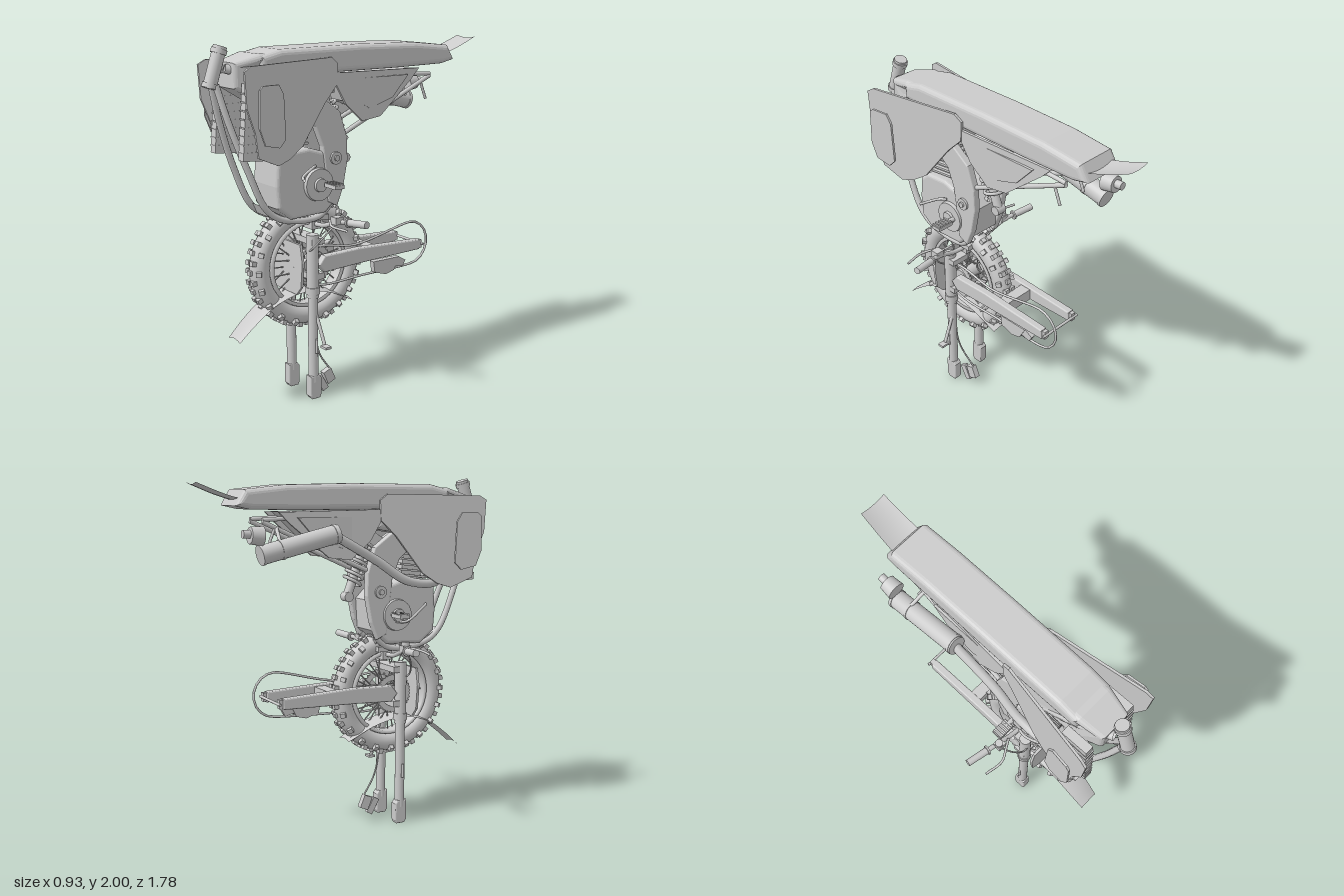
import * as THREE from 'three';
import { mergeGeometries } from 'three/addons/utils/BufferGeometryUtils.js';

const mat = new THREE.MeshStandardMaterial({ color: 0xcccccc, side: THREE.DoubleSide });
const V = (p) => new THREE.Vector3(...p);

export function createModel() {
  const root = new THREE.Group();
  const add = (name, geo, x = 0, y = 0, z = 0) => {
    const m = new THREE.Mesh(geo, mat);
    m.name = name;
    m.position.set(x, y, z);
    root.add(m);
    return m;
  };
  const box = (name, w, h, d, x, y, z, rx = 0) => {
    const m = add(name, new THREE.BoxGeometry(w, h, d), x, y, z);
    m.rotation.x = rx;
    return m;
  };
  // straight round bar between two points
  const rodGeo = (a, b, r, r2 = r, n = 16) => {
    const A = V(a), B = V(b), d = B.clone().sub(A);
    const g = new THREE.CylinderGeometry(r2, r, d.length(), n);
    g.applyQuaternion(new THREE.Quaternion().setFromUnitVectors(new THREE.Vector3(0, 1, 0), d.normalize()));
    return g.translate(...A.add(B).multiplyScalar(0.5).toArray());
  };
  const rod = (name, a, b, r, r2, n) => add(name, rodGeo(a, b, r, r2, n));
  const tube = (name, pts, r, closed = false) =>
    add(name, new THREE.TubeGeometry(new THREE.CatmullRomCurve3(pts.map(V), closed), 48, r, 10, closed));
  // side outline in [z, y], given a thickness along x
  const plateGeo = (pts, w, bevel = 0, hole) => {
    const s = new THREE.Shape(pts.map((p) => new THREE.Vector2(...p)));
    if (hole) s.holes.push(new THREE.Path().absarc(...hole, 0, Math.PI * 2, true));
    const g = new THREE.ExtrudeGeometry(s, {
      depth: w - 2 * bevel, bevelEnabled: bevel > 0, bevelSize: bevel,
      bevelThickness: bevel, bevelOffset: -bevel, bevelSegments: 4, curveSegments: 24,
    });
    return g.translate(0, 0, bevel - w / 2).rotateY(-Math.PI / 2).translate(w / 2 - w / 2, 0, 0);
  };
  const plate = (name, pts, w, x = 0, bevel = 0) => add(name, plateGeo(pts, w, bevel), x);
  // shifts x by a rule of position
  const bend = (g, f) => {
    const p = g.attributes.position;
    for (let i = 0; i < p.count; i++) p.setX(i, f(p.getX(i), p.getY(i), p.getZ(i)));
    g.computeVertexNormals();
    return g;
  };
  const sides = [-1, 1];

  // Wheel: tyre, tread, rim, spokes and hub
  const WY = 0.77, WZ = 0.285;
  add('tyre', new THREE.TorusGeometry(0.298, 0.056, 20, 72).rotateY(Math.PI / 2), 0, WY, WZ);
  const knobs = [], spokes = [];
  for (let i = 0; i < 40; i++) {
    const a = (i / 40) * Math.PI * 2;
    const offs = i % 2 ? [-0.021, 0.021] : [-0.052, 0, 0.052];
    for (const o of offs) {
      const side = Math.abs(o) > 0.04;
      const g = new THREE.BoxGeometry(0.03, 0.03, 0.026);
      if (side) g.rotateZ(-Math.sign(o) * 0.9);
      knobs.push(g.translate(o, side ? 0.332 : 0.352, 0).rotateX(a));
    }
  }
  add('tyreKnobs', mergeGeometries(knobs), 0, WY, WZ);
  const rim = [[0.228, -0.04], [0.246, -0.045], [0.25, -0.03], [0.236, 0], [0.25, 0.03], [0.246, 0.045], [0.228, 0.04], [0.222, 0], [0.228, -0.04]];
  add('rim', new THREE.LatheGeometry(rim.map((p) => new THREE.Vector2(...p)), 64).rotateZ(Math.PI / 2), 0, WY, WZ);
  for (let i = 0; i < 32; i++) {
    const a = (i / 32) * Math.PI * 2, b = a + (i % 4 < 2 ? 0.5 : -0.5), s = i % 2 ? 1 : -1;
    spokes.push(rodGeo([s * 0.045, Math.cos(b) * 0.05, Math.sin(b) * 0.05], [s * 0.01, Math.cos(a) * 0.23, Math.sin(a) * 0.23], 0.004, 0.004, 6));
  }
  add('spokes', mergeGeometries(spokes), 0, WY, WZ);
  rod('hub', [-0.06, WY, WZ], [0.06, WY, WZ], 0.045, 0.045, 24);
  const ring = (n, x, r, hole) => {
    const pts = [];
    for (let i = 0; i < 72; i++) {
      const a = (i / 72) * Math.PI * 2, q = r + (i % 2 ? 0.006 : -0.004);
      pts.push([WZ + Math.cos(a) * q, WY + Math.sin(a) * q]);
    }
    add(n, plateGeo(pts, 0.008, 0, [WZ, WY, hole]), x);
  };
  ring('sprocket', 0.075, 0.12, 0.085);
  ring('brakeDisc', -0.07, 0.11, 0.075);

  // Fork legs, clamps and feet
  for (const s of sides) {
    const x = s * 0.112;
    rod('forkUpper', [x, 0.6, 0.31], [x, 0.96, 0.31], 0.034, 0.034, 24);
    rod('forkLower', [x, 0.1, 0.31], [x, 0.62, 0.31], 0.028, 0.028, 24);
    rod('forkCollar', [x, 0.62, 0.31], [x, 0.66, 0.31], 0.04, 0.04, 24);
    plate('forkFoot', [[0.345, 0.02], [0.33, 0], [0.28, 0], [0.27, 0.02], [0.27, 0.12], [0.285, 0.14], [0.345, 0.14]], 0.052, x, 0.008);
    rod('forkGuide', [x + s * 0.035, 0.28, 0.31], [x + s * 0.035, 0.36, 0.31], 0.008);
  }
  box('upperClamp', 0.28, 0.035, 0.08, 0, 0.92, 0.29);
  box('lowerClamp', 0.28, 0.035, 0.08, 0, 0.72, 0.29);
  tube('brakeHose', [[0.09, 0.6, 0.3], [0.1, 0.33, 0.28], [0.09, 0.24, 0.25], [0.07, 0.13, 0.17]], 0.005);
  box('caliper', 0.035, 0.08, 0.055, 0.07, 0.09, 0.18, 0.4);
  box('caliperBracket', 0.025, 0.1, 0.04, 0.075, 0.06, 0.23, 0.5);

  // Number plate inside the wheel, bowed across its width
  const np = new THREE.Shape([[-0.1, 0.63], [-0.145, 0.68], [-0.16, 0.82], [-0.14, 0.92], [0.14, 0.92], [0.16, 0.82], [0.145, 0.68], [0.1, 0.63]].map((p) => new THREE.Vector2(...p)));
  add('numberPlate', new THREE.ExtrudeGeometry(np, { depth: 0.015, bevelEnabled: false }), 0, 0, 0.395);

  // Arched strips for the fenders: path in [z, y, half width]
  const strip = (name, path, dish) => {
    const c = new THREE.CatmullRomCurve3(path.map(([z, y, w]) => new THREE.Vector3(w, y, z)));
    const g = new THREE.PlaneGeometry(1, 1, 8, 24), p = g.attributes.position;
    for (let i = 0; i < p.count; i++) {
      const q = c.getPoint(p.getY(i) + 0.5), u = p.getX(i) * 2;
      p.setXYZ(i, u * q.x, q.y - dish * u * u, q.z);
    }
    g.computeVertexNormals();
    return add(name, g);
  };
  strip('frontFender', [[0.75, 0.42, 0.06], [0.66, 0.5, 0.068], [0.53, 0.59, 0.075], [0.36, 0.635, 0.08], [0.18, 0.605, 0.075], [0, 0.52, 0.06]], 0.012);
  strip('rearFender', [[-0.62, 1.87, 0.092], [-0.75, 1.91, 0.086], [-0.89, 1.965, 0.078]], -0.012);

  // Swingarm, chain, guide and stand
  for (const s of sides) {
    plate('swingarm', [[0.28, 0.78], [0.24, 0.83], [0, 0.835], [-0.44, 0.815], [-0.44, 0.755], [0, 0.745], [0.24, 0.735]], 0.045, s * 0.112, 0.008);
    box('axleBlock', 0.03, 0.05, 0.04, s * 0.112, 0.785, -0.44);
  }
  box('swingarmBridge', 0.2, 0.07, 0.07, 0, 0.785, -0.11);
  rod('rearAxle', [-0.14, 0.785, -0.46], [0.14, 0.785, -0.46], 0.008);
  const loop = [];
  for (let i = 0; i <= 8; i++) {
    const a = Math.PI / 2 + (i / 8) * Math.PI;
    loop.push([0.1, 0.795 + 0.128 * Math.sin(a), -0.39 + 0.128 * Math.cos(a)]);
  }
  loop.push([0.085, 0.655, -0.05], [0.08, 0.65, 0.24], [0.08, 0.71, 0.38], [0.08, 0.85, 0.37], [0.08, 0.875, 0.24], [0.085, 0.845, 0]);
  tube('chain', loop, 0.007, true);
  plate('chainGuide', [[-0.11, 0.73], [-0.3, 0.73], [-0.26, 0.655], [-0.2, 0.64], [-0.12, 0.665]], 0.035, 0.1);
  plate('guideTab', [[-0.26, 0.68], [-0.3, 0.73], [-0.35, 0.7], [-0.33, 0.665]], 0.025, 0.1);
  rod('standLeg', [0.09, 0.58, 0.3], [0.195, 0.34, 0.29], 0.01);
  box('standFoot', 0.05, 0.014, 0.04, 0.21, 0.33, 0.29);

  // Handlebar, grips, levers and cables
  tube('handlebar', [[-0.45, 1.065, 0.2], [-0.27, 1.05, 0.235], [-0.13, 1.005, 0.25], [0, 1.0, 0.25], [0.13, 1.005, 0.25], [0.27, 1.05, 0.235], [0.45, 1.065, 0.2]], 0.013);
  box('handlebarClamp', 0.13, 0.05, 0.06, 0, 0.995, 0.25);
  for (const s of sides) {
    rod('grip', [s * 0.33, 1.056, 0.223], [s * 0.46, 1.066, 0.2], 0.02);
    rod('gripFlange', [s * 0.325, 1.056, 0.224], [s * 0.335, 1.057, 0.222], 0.028);
    box('leverPerch', 0.05, 0.04, 0.05, s * 0.26, 1.06, 0.25);
    tube('lever', [[s * 0.2, 1.05, 0.26], [s * 0.25, 1.06, 0.29], [s * 0.32, 1.05, 0.325], [s * 0.43, 1.045, 0.31]], 0.007);
    tube('cable', [[s * 0.27, 1.05, 0.26], [s * 0.21, 0.95, 0.32], [s * 0.14, 0.88, 0.34], [s * 0.06, 0.86, 0.3]], 0.005);
  }
  rod('reservoir', [-0.265, 1.06, 0.25], [-0.265, 1.1, 0.25], 0.022);

  // Engine, covers, cylinder fins and foot controls
  plate('engineCase', [[0.53, 1.38], [0.47, 1.43], [0.33, 1.44], [0.2, 1.4], [0.12, 1.32], [0.13, 1.15], [0.22, 1.07], [0.44, 1.06], [0.53, 1.13], [0.54, 1.25]], 0.24, 0, 0.02);
  for (const s of sides) {
    rod('engineCover', [s * 0.1, 1.235, 0.275], [s * 0.14, 1.235, 0.275], 0.095, 0.088, 32);
    rod('coverBoss', [s * 0.13, 1.235, 0.275], [s * 0.155, 1.235, 0.275], 0.04, 0.036, 24);
    rod('footpegStem', [s * 0.1, 1.24, 0.24], [s * 0.2, 1.24, 0.24], 0.014);
    box('footpeg', 0.1, 0.02, 0.06, s * 0.225, 1.24, 0.24);
    for (let i = 0; i < 5; i++) box('pegTooth', 0.01, 0.012, 0.06, s * (0.185 + i * 0.02), 1.252, 0.24);
  }
  tube('shiftLever', [[0.13, 1.34, 0.3], [0.155, 1.34, 0.33], [0.165, 1.3, 0.4], [0.22, 1.29, 0.43]], 0.008);
  tube('brakePedal', [[-0.13, 1.2, 0.25], [-0.16, 1.2, 0.32], [-0.16, 1.27, 0.42], [-0.14, 1.29, 0.46]], 0.008);
  box('cylinderBarrel', 0.13, 0.24, 0.13, 0, 1.53, 0.41, 0.12);
  for (let i = 0; i < 7; i++) box('coolingFin', 0.17, 0.012, 0.18, 0, 1.45 + i * 0.03, 0.4 + i * 0.004, 0.12);
  box('cylinderHead', 0.15, 0.06, 0.15, 0, 1.67, 0.43, 0.12);
  plate('skidPlate', [[0.58, 1.14], [0.55, 1.08], [0.45, 1.03], [0.18, 1.02], [0.18, 1.05], [0.44, 1.06], [0.53, 1.11]], 0.17);

  // Frame
  rod('headTube', [0, 1.78, 0.855], [0, 1.99, 0.785], 0.036, 0.036, 24);
  for (const y of [1.795, 1.965]) {
    const z = 0.855 - (y - 1.78) / 3;
    rod('headRing', [0, y - 0.012, z + 0.004], [0, y + 0.012, z - 0.004], 0.042, 0.042, 24);
  }
  for (const s of sides) {
    tube('downTube', [[s * 0.025, 1.8, 0.83], [s * 0.05, 1.6, 0.775], [s * 0.075, 1.35, 0.685], [s * 0.08, 1.13, 0.58], [s * 0.08, 1.06, 0.48], [s * 0.08, 1.045, 0.25], [s * 0.08, 1.12, 0.15]], 0.018);
    const spar = [[0.37, 1.62], [0.24, 1.7], [0.13, 1.62], [0.085, 1.48], [0.08, 1.35], [0.11, 1.2], [0.15, 1.1], [0.21, 1.13], [0.23, 1.32], [0.245, 1.44], [0.29, 1.55]];
    plate('frameSpar', spar, 0.045, s * 0.105, 0.008);
    tube('topRail', [[s * 0.03, 1.88, 0.78], [s * 0.085, 1.84, 0.62], [s * 0.1, 1.7, 0.4], [s * 0.1, 1.62, 0.27]], 0.025);
    rod('pivotRing', [s * 0.12, 1.37, 0.165], [s * 0.14, 1.37, 0.165], 0.035, 0.035, 24);
    rod('pivotBolt', [s * 0.13, 1.37, 0.165], [s * 0.15, 1.37, 0.165], 0.016);
    rod('subframeRail', [s * 0.1, 1.49, 0.1], [s * 0.085, 1.77, -0.53], 0.013);
    rod('subframeTop', [s * 0.085, 1.81, 0.1], [s * 0.085, 1.78, -0.53], 0.012);
    rod('subframeStay', [s * 0.09, 1.74, -0.46], [s * 0.09, 1.64, -0.5], 0.008);
  }

  // Shock absorber and coil spring
  const top = V([0, 1.69, 0.15]), low = V([0, 1.34, 0.02]), coil = [];
  for (let i = 0; i <= 96; i++) {
    const a = (i / 96) * Math.PI * 14, q = top.clone().lerp(low, 0.1 + (0.7 * i) / 96);
    coil.push([q.x + 0.05 * Math.cos(a), q.y + 0.018 * Math.sin(a), q.z - 0.048 * Math.sin(a)]);
  }
  add('shockSpring', new THREE.TubeGeometry(new THREE.CatmullRomCurve3(coil.map(V)), 220, 0.01, 6));
  rod('shockBody', top.toArray(), low.toArray(), 0.026);
  rod('shockEye', [-0.03, 1.34, 0.02], [0.03, 1.34, 0.02], 0.028);
  plate('airBox', [[0.1, 1.82], [-0.4, 1.82], [-0.25, 1.68], [-0.05, 1.62], [0.04, 1.66]], 0.17);

  // Seat and tank
  plate('seat', [[0.62, 1.94], [0.5, 1.968], [0, 1.973], [-0.4, 1.965], [-0.64, 1.94], [-0.69, 1.855], [-0.6, 1.835], [-0.3, 1.83], [0.16, 1.83], [0.62, 1.85]], 0.255, 0, 0.03);
  add('tank', bend(plateGeo([[0.76, 1.91], [0.62, 1.95], [0.15, 1.94], [0.15, 1.72], [0.35, 1.69], [0.62, 1.7], [0.76, 1.78]], 0.24, 0.03),
    (x, y, z) => x * (z > 0.65 ? 0.8 : 1)));

  // Radiators, shrouds and side panels
  for (const s of sides) {
    box('radiator', 0.05, 0.39, 0.16, s * 0.145, 1.61, 0.67, -0.08);
    for (let i = 0; i < 8; i++) box('radiatorFin', 0.054, 0.008, 0.17, s * 0.145, 1.46 + i * 0.043, 0.68 - i * 0.003);
    const shroud = plateGeo([[0.79, 1.88], [0.75, 1.905], [0.2, 1.915], [0.155, 1.88], [0.16, 1.77], [0.25, 1.68], [0.41, 1.47], [0.5, 1.41], [0.58, 1.385], [0.71, 1.44], [0.73, 1.57], [0.78, 1.7]], 0.014);
    add('shroud', bend(shroud, (x, y, z) => x + s * (0.13 + (z - 0.13) * 0.165)));
    const vent = plateGeo([[0.73, 1.79], [0.71, 1.81], [0.61, 1.81], [0.58, 1.76], [0.57, 1.53], [0.61, 1.49], [0.7, 1.51], [0.735, 1.6]], 0.012);
    add('shroudVent', bend(vent, (x, y, z) => x + s * (0.262 + (z - 0.57) * 0.12)));
    const panel = plateGeo([[0.16, 1.83], [-0.44, 1.82], [-0.38, 1.76], [-0.15, 1.57], [-0.02, 1.555], [0.1, 1.66], [0.16, 1.76]], 0.016);
    add('sidePanel', bend(panel, (x, y, z) => x + s * (0.12 + z * 0.06)));
    plate('sidePanelInset', [[0.08, 1.79], [-0.34, 1.79], [-0.23, 1.67], [-0.07, 1.62], [0, 1.66]], 0.014, s * 0.12);
  }

  // Exhaust: header, muffler, bands and tip on one side
  tube('exhaustPipe', [[-0.04, 1.56, 0.5], [-0.09, 1.5, 0.6], [-0.15, 1.42, 0.52], [-0.17, 1.43, 0.32], [-0.165, 1.55, 0.12], [-0.18, 1.695, -0.15]], 0.026);
  const mx = -0.178;
  rod('muffler', [mx, 1.705, -0.13], [mx, 1.6, -0.58], 0.052, 0.052, 28);
  for (const t of [0.02, 0.72, 0.97]) {
    const y = 1.705 - 0.105 * t, z = -0.13 - 0.45 * t;
    rod('mufflerBand', [mx, y, z], [mx, y - 0.004, z - 0.017], 0.055, 0.055, 28);
  }
  rod('tailTip', [mx, 1.7, -0.57], [mx, 1.705, -0.64], 0.052, 0.045, 24);
  rod('tailOutlet', [mx, 1.71, -0.63], [mx, 1.712, -0.68], 0.022, 0.022, 20);
  rod('mufflerMount', [-0.085, 1.74, -0.45], [mx, 1.67, -0.47], 0.01);
  return root;
}
